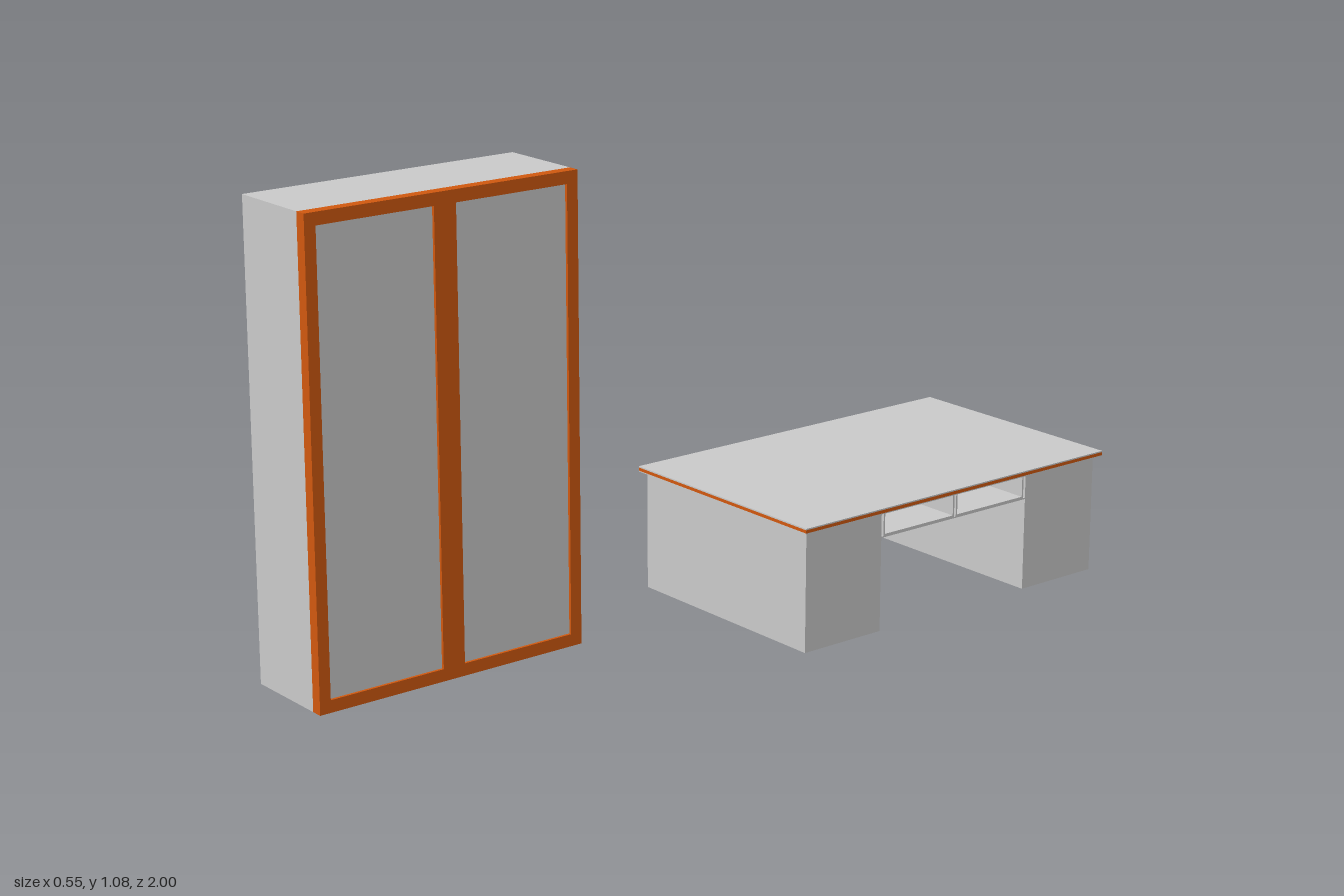
import * as THREE from 'three';

const grey = new THREE.MeshStandardMaterial({ color: 0xcccccc });
const orange = new THREE.MeshStandardMaterial({ color: 0xd2590f });

// Box given by its lower and upper limits on each axis
function box(parent, name, material, [x0, x1], [y0, y1], [z0, z1]) {
  const mesh = new THREE.Mesh(new THREE.BoxGeometry(x1 - x0, y1 - y0, z1 - z0), material);
  mesh.position.set((x0 + x1) / 2, (y0 + y1) / 2, (z0 + z1) / 2);
  mesh.name = name;
  parent.add(mesh);
}

function createDesk() {
  const desk = new THREE.Group();
  desk.name = 'desk';
  const bodyX = [-0.263, 0.261];

  // Worktop: grey faces with an orange edge band
  const topX = [-0.277, 0.275], topZ = [-1, -0.132];
  box(desk, 'worktopUnderside', grey, topX, [0.265, 0.267], topZ);
  box(desk, 'worktopEdgeBand', orange, topX, [0.267, 0.274], topZ);
  box(desk, 'worktopSurface', grey, topX, [0.274, 0.277], topZ);

  // Pedestals
  box(desk, 'frontPedestal', grey, bodyX, [0, 0.265], [-0.354, -0.145]);
  box(desk, 'backPedestal', grey, bodyX, [0, 0.265], [-0.986, -0.777]);

  // Two open compartments under the worktop, closed halfway through
  for (const [z0, z1] of [[-0.564, -0.36], [-0.771, -0.569]]) {
    const t = 0.004;
    box(desk, 'compartmentFloor', grey, bodyX, [0.21, 0.214], [z0, z1]);
    box(desk, 'compartmentCeiling', grey, bodyX, [0.26, 0.264], [z0, z1]);
    box(desk, 'compartmentSide', grey, bodyX, [0.214, 0.26], [z0, z0 + t]);
    box(desk, 'compartmentSide', grey, bodyX, [0.214, 0.26], [z1 - t, z1]);
    box(desk, 'compartmentPanel', grey, [-0.003, 0.003], [0.214, 0.26], [z0 + t, z1 - t]);
  }
  // Board joining the compartments to the pedestals
  box(desk, 'compartmentBase', grey, bodyX, [0.207, 0.21], [-0.777, -0.354]);
  return desk;
}

function createCabinet() {
  const cabinet = new THREE.Group();
  cabinet.name = 'cabinet';
  const y = [0.133, 1.083], z = [0.394, 1];
  box(cabinet, 'cabinetBody', grey, [0, 0.184], y, z);

  // Orange door frame with two rectangular openings
  const frame = new THREE.Shape([
    [z[0], y[0]], [z[1], y[0]], [z[1], y[1]], [z[0], y[1]],
  ].map(([a, b]) => new THREE.Vector2(-a, b)));
  const openings = [[0.419, 0.673], [0.722, 0.976]];
  for (const [z0, z1] of openings) {
    frame.holes.push(new THREE.Path([
      [z0, 0.158], [z0, 1.058], [z1, 1.058], [z1, 0.158],
    ].map(([a, b]) => new THREE.Vector2(-a, b))));
    box(cabinet, 'doorPanel', grey, [0.184, 0.202], [0.158, 1.058], [z0, z1]);
  }
  const geometry = new THREE.ExtrudeGeometry(frame, { depth: 0.024, bevelEnabled: false });
  geometry.rotateY(Math.PI / 2);
  const mesh = new THREE.Mesh(geometry, orange);
  mesh.position.x = 0.184;
  mesh.name = 'doorFrame';
  cabinet.add(mesh);
  return cabinet;
}

export function createModel() {
  const model = new THREE.Group();
  model.name = 'deskAndCabinet';
  model.add(createDesk(), createCabinet());
  return model;
}
